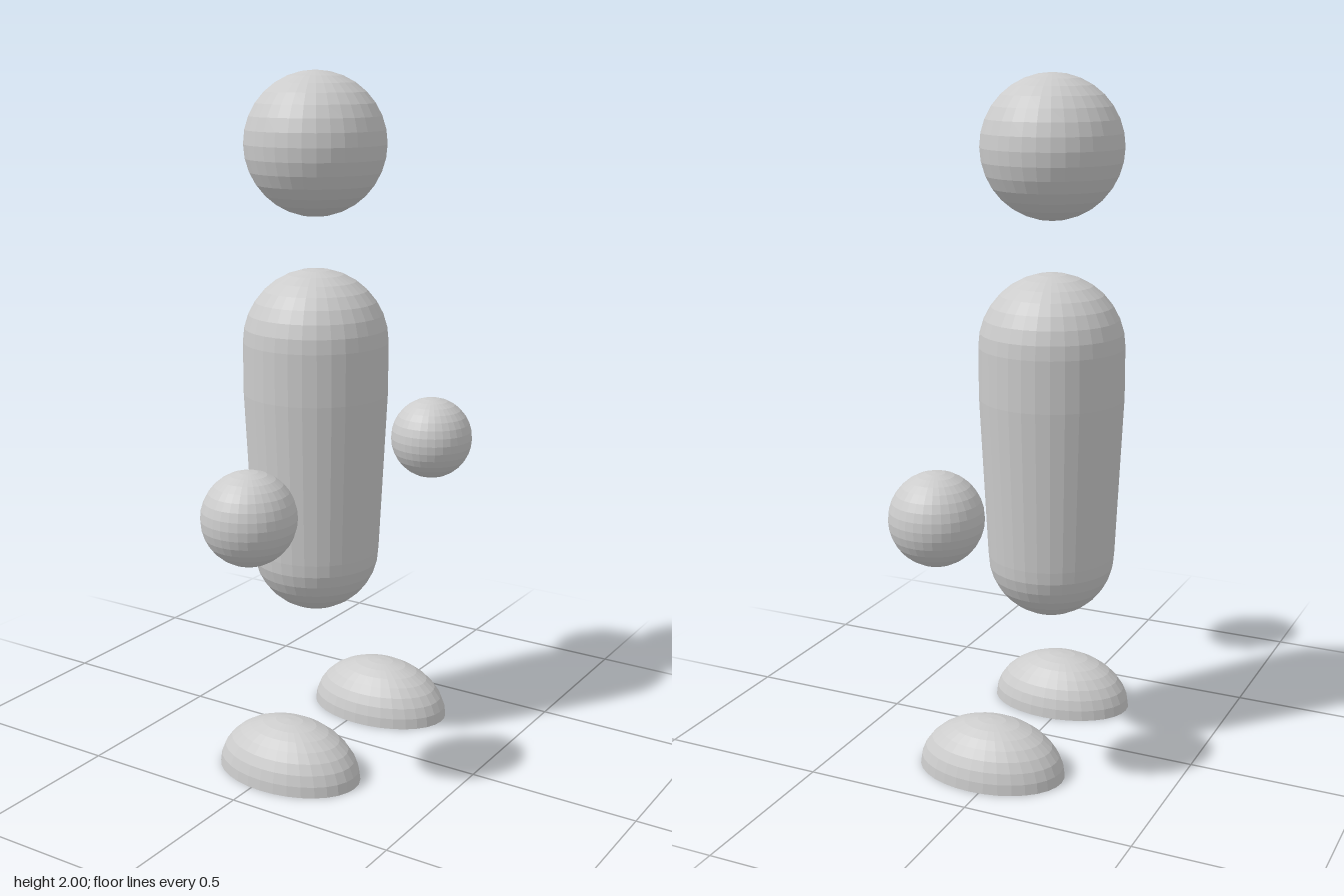
import * as THREE from 'three';

const material = new THREE.MeshStandardMaterial({ color: 0xcccccc, flatShading: true });

function addMesh(parent, name, geometry, x, y, z) {
  const mesh = new THREE.Mesh(geometry, material);
  mesh.name = name;
  mesh.position.set(x, y, z);
  parent.add(mesh);
  return mesh;
}

// Tapered capsule: lower dome, tapering side, short straight chest, upper dome
function bodyGeometry() {
  const points = [];
  const steps = 8;
  const dome = (radius, centre, from) => {
    for (let i = 0; i <= steps; i++) {
      const a = from + (i / steps) * Math.PI / 2;
      points.push(new THREE.Vector2(Math.max(0, Math.cos(a) * radius), centre + Math.sin(a) * radius));
    }
  };
  dome(0.188, 0.603, -Math.PI / 2);
  points.push(new THREE.Vector2(0.212, 1.08));
  dome(0.212, 1.231, 0);
  return new THREE.LatheGeometry(points, 32);
}

export function createModel() {
  const model = new THREE.Group();
  model.name = 'floatingFigure';
  const bodyX = -0.045;

  addMesh(model, 'head', new THREE.SphereGeometry(0.204, 32, 16), bodyX, 1.796, 0);
  addMesh(model, 'body', bodyGeometry(), bodyX, 0, 0);

  for (const [label, side] of [['A', 1], ['B', -1]]) {
    addMesh(model, 'hand' + label, new THREE.SphereGeometry(0.13, 32, 16), 0.07, 0.846, side * 0.503);

    // Foot: stretched half sphere with a flat sole
    const foot = new THREE.Group();
    foot.name = 'foot' + label;
    foot.position.set(0.03, 0, side * 0.26);
    foot.scale.set(0.224, 0.16, 0.155);
    addMesh(foot, 'footTop' + label, new THREE.SphereGeometry(1, 32, 8, 0, Math.PI * 2, 0, Math.PI / 2), 0, 0, 0);
    addMesh(foot, 'sole' + label, new THREE.CircleGeometry(1, 32).rotateX(Math.PI / 2), 0, 0, 0);
    model.add(foot);
  }
  return model;
}
